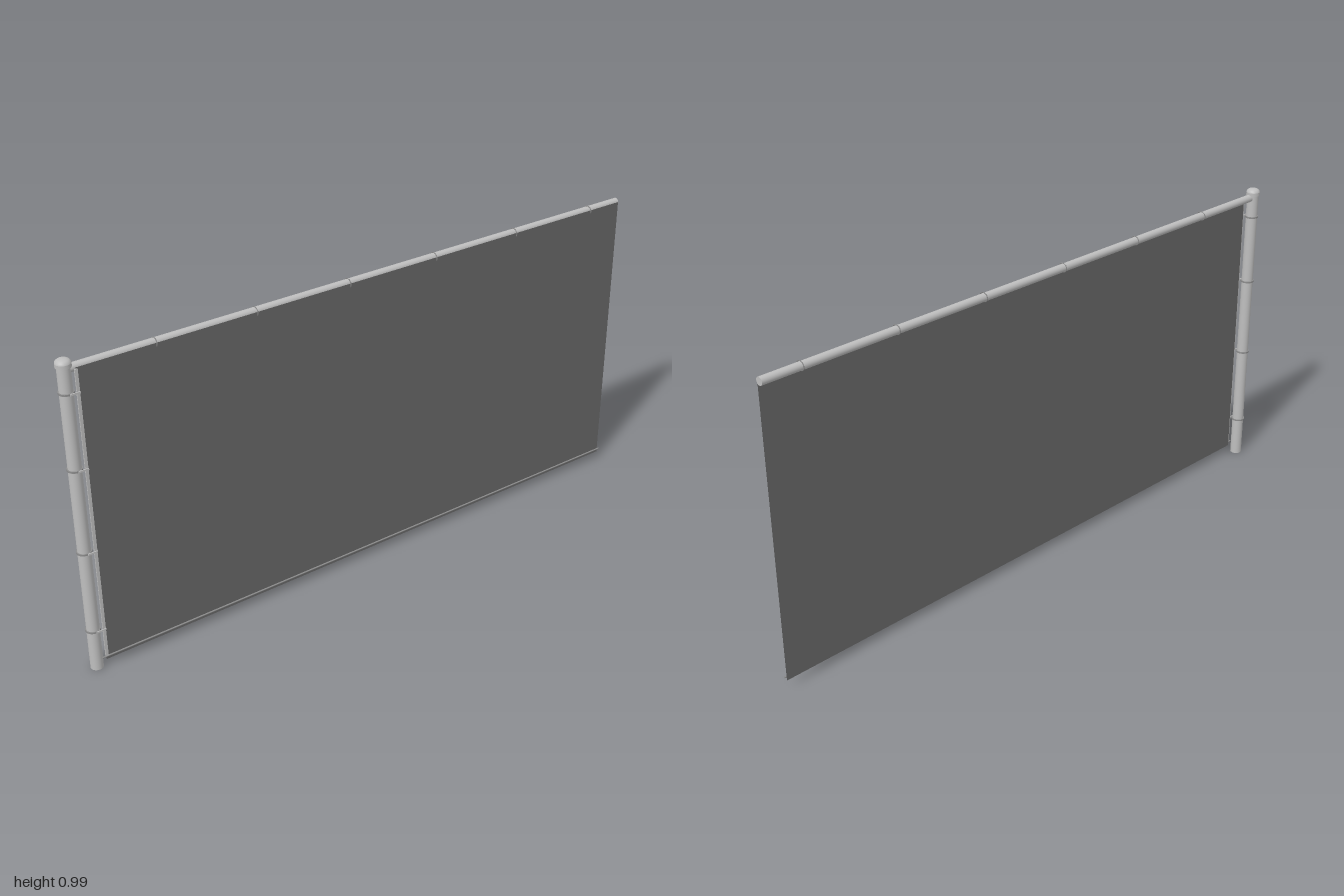
import * as THREE from 'three';

export function createModel() {
  const group = new THREE.Group();
  const steel = new THREE.MeshStandardMaterial({ color: 0xbebebe });
  steel.name = 'galvanised steel';
  const fabric = new THREE.MeshStandardMaterial({ color: 0x666666, side: THREE.DoubleSide });
  fabric.name = 'dark mesh fabric';
  const wireSteel = new THREE.MeshStandardMaterial({ color: 0x8c8c8c });
  wireSteel.name = 'fitting steel';

  const postX = -0.977, railY = 0.956, fabricZ = 0.017;

  function add(name, geometry, material, x, y, z) {
    const mesh = new THREE.Mesh(geometry, material);
    mesh.name = name;
    mesh.position.set(x, y, z);
    group.add(mesh);
    return mesh;
  }
  const lathe = (pts) => new THREE.LatheGeometry(pts.map(([r, y]) => new THREE.Vector2(r, y)), 32);
  // horizontal round bar along x
  function bar(name, x0, x1, y, z, radius, material) {
    const g = new THREE.CylinderGeometry(radius, radius, x1 - x0, 20).rotateZ(Math.PI / 2);
    return add(name, g, material, (x0 + x1) / 2, y, z);
  }

  // Post with a low domed cap
  add('post', new THREE.CylinderGeometry(0.019, 0.019, 0.97, 32), steel, postX, 0.485, 0);
  add('postCap', lathe([
    [0.019, 0.964], [0.0222, 0.964], [0.0222, 0.964], [0.0222, 0.975], [0.0222, 0.975],
    [0.0205, 0.980], [0.016, 0.984], [0.009, 0.9865], [0, 0.987],
  ]), steel, postX, 0, 0);

  // Top rail
  bar('topRail', postX, 0.992, railY, 0.001, 0.0125, steel);

  // Fence fabric, hung on the front of the rail
  add('fabric', new THREE.PlaneGeometry(1.94, 0.935), fabric, 0.017, 0.4925, fabricZ);

  // Flat tension bar along the post side of the fabric
  add('tensionBar', new THREE.BoxGeometry(0.009, 0.92, 0.004), steel, -0.952, 0.497, 0.0195);

  // Wire along the bottom edge
  bar('bottomWire', -0.967, 0.992, 0.037, 0.0195, 0.0025, wireSteel);

  // Clamping bands round the post, each with a lug to the tension bar
  for (const y of [0.133, 0.397, 0.66, 0.89]) {
    add('postBand', lathe([
      [0.019, -0.0025], [0.022, -0.0025], [0.022, -0.0025],
      [0.022, 0.0025], [0.022, 0.0025], [0.019, 0.0025],
    ]), wireSteel, postX, y, 0);
    add('bandLug', new THREE.BoxGeometry(0.03, 0.005, 0.003), steel, -0.962, y, 0.0228);
  }

  // Wire ties looped round rail and fabric
  for (let i = 0; i < 6; i++) {
    const tie = add('railTie', new THREE.TorusGeometry(0.0145, 0.0015, 6, 28).rotateY(Math.PI / 2),
      wireSteel, -0.715 + i * 0.316, railY, 0.003);
    tie.scale.set(1, 0.95, 1.05);
  }
  return group;
}
